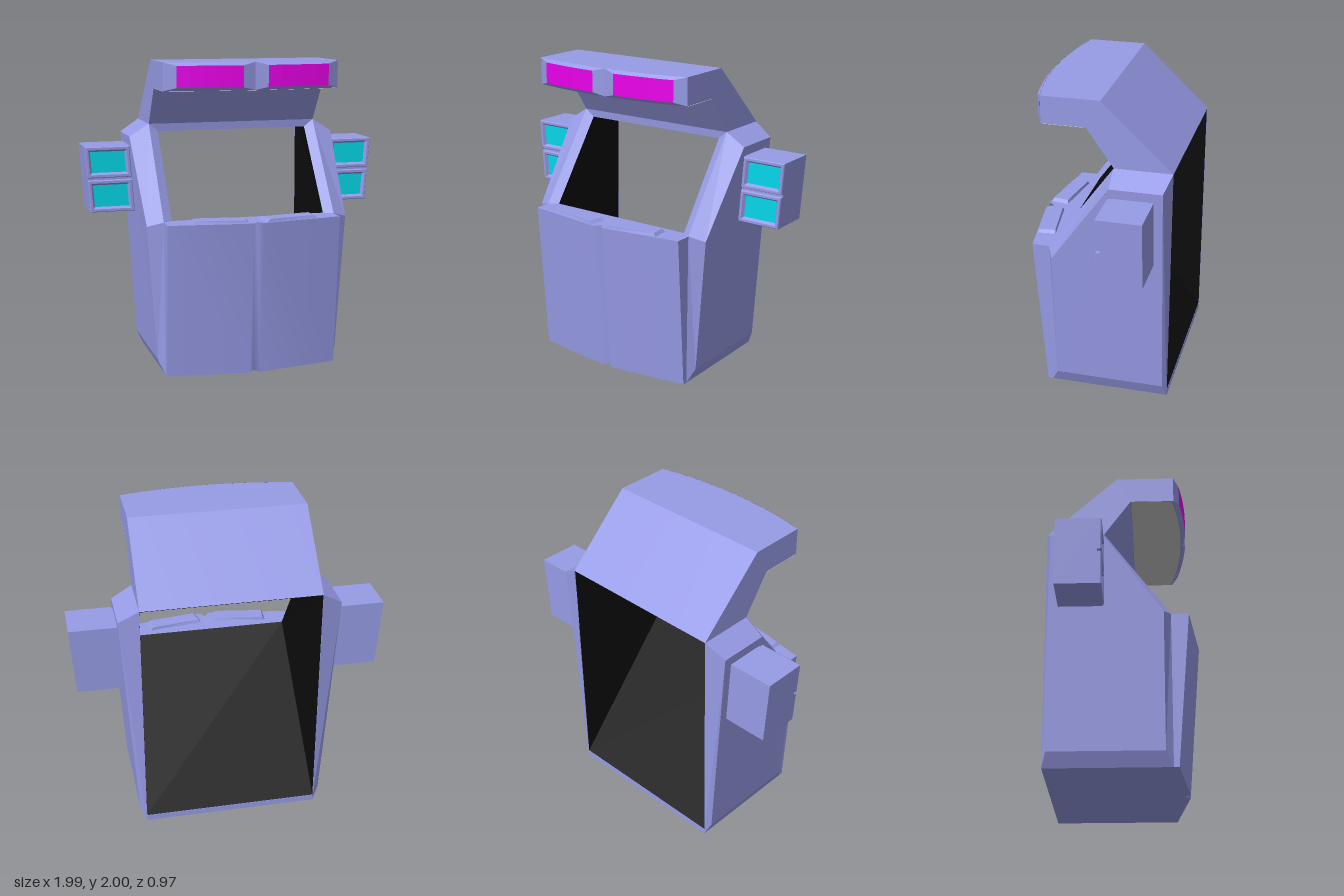
import * as THREE from 'three';
import { mergeVertices } from 'three/addons/utils/BufferGeometryUtils.js';

const mat = (color, flatShading = true) => new THREE.MeshStandardMaterial({ color, flatShading, side: THREE.DoubleSide });
const shell = mat(0x979be6), smoothShell = mat(0x979be6, false);
const dark = mat(0x0c0c0c), magenta = mat(0xea00ea), cyan = mat(0x04d8ea), grey = mat(0xcccccc);

// Mesh from a list of polygons, each fanned from its first point
function polyMesh(name, polys, material) {
  const pos = [];
  for (const p of polys)
    for (let i = 1; i < p.length - 1; i++) pos.push(...p[0], ...p[i], ...p[i + 1]);
  let g = new THREE.BufferGeometry();
  g.setAttribute('position', new THREE.Float32BufferAttribute(pos, 3));
  if (!material.flatShading) g = mergeVertices(g);
  g.computeVertexNormals();
  const mesh = new THREE.Mesh(g, material);
  mesh.name = name;
  return mesh;
}

// Polygons joining closed rings of equal length, with optional end caps
function loft(rings, capStart, capEnd) {
  const polys = [];
  for (let r = 0; r < rings.length - 1; r++) {
    const a = rings[r], b = rings[r + 1];
    a.forEach((p, i) => {
      const j = (i + 1) % a.length;
      polys.push([p, a[j], b[j], b[i]]);
    });
  }
  if (capStart) polys.push([rings[0][0], ...rings[0].slice(1).reverse()]);
  if (capEnd) polys.push(rings[rings.length - 1]);
  return polys;
}

// Bowed front edge of the hood
const bow = (x) => 0.33 + 0.065 * (1 - (x / 0.57) ** 2);

// Bevelled side wall, made for +x
function sideWall() {
  const inner = [[0.57, 0, 0.3], [0.57, 0, -0.475], [0.57, 1.58, -0.485], [0.57, 1.58, -0.12], [0.57, 1, 0.3]];
  const outer = [[0.61, 0.09, 0.255], [0.61, 0.09, -0.45], [0.7, 1.5, -0.45], [0.7, 1.5, -0.12], [0.67, 0.97, 0.255]];
  return polyMesh('sideWall', loft([inner, outer], false, true), shell);
}

// One half of the visor: raised bevelled frame around a coloured pane
function visorHalf() {
  const g = new THREE.Group();
  g.name = 'visorHalf';
  const ring = (x0, x1, y0, y1, lift) => {
    const edge = (y) => [0, 1, 2, 3, 4, 5].map((i) => {
      const x = x0 + (x1 - x0) * i / 5;
      return [x, y, bow(x) + lift];
    });
    return [...edge(y0), ...edge(y1).reverse()];
  };
  const outer = ring(0, 0.57, 1.825, 2, 0.001), inner = ring(0.08, 0.495, 1.845, 1.98, 0.022);
  g.add(polyMesh('visorFrame', loft([outer, inner]), shell));
  const panes = [];
  for (let i = 0; i < 5; i++) panes.push([inner[i], inner[i + 1], inner[10 - i], inner[11 - i]]);
  g.add(polyMesh('visorPane', panes, magenta));
  return g;
}

// Leaning shoulder box with two lamps set in bevelled frames
function shoulderBox() {
  const g = new THREE.Group();
  g.name = 'shoulderBox';
  const rect = (x0, x1, y0, y1, z) => [[x0, y0], [x1, y0], [x1, y1], [x0, y1]]
    .map(([x, y]) => [x + (y - 1.44) * 0.07, y, z]);
  const housing = [-0.395, -0.14].map((z) => rect(0.68, 0.995, 1.01, 1.44, z));
  g.add(polyMesh('lampHousing', loft(housing, true, true), shell));
  for (const [y0, y1] of [[1.01, 1.22], [1.236, 1.44]]) {
    const inset = (d, z) => rect(0.703 + d, 0.995 - d, y0 + d, y1 - d, z);
    const lens = inset(0.033, -0.132);
    g.add(polyMesh('lampFrame', loft([inset(0, -0.14), inset(0, -0.12), inset(0.005, -0.112), inset(0.02, -0.112), lens]), shell));
    g.add(polyMesh('lamp', [lens], cyan));
  }
  return g;
}

export function createModel() {
  const model = new THREE.Group();
  model.name = 'openBackedShell';

  // Mirrored parts
  for (const s of [1, -1]) {
    const side = new THREE.Group();
    side.name = s > 0 ? 'leftSide' : 'rightSide';
    side.add(sideWall(), visorHalf(), shoulderBox());
    // Raised plate on the chest ledge
    const base = [[0.06, 1, 0.475], [0.41, 1, 0.425], [0.4, 1, 0.31], [0.04, 1, 0.36]];
    const top = [[0.08, 1.02, 0.468], [0.395, 1.02, 0.42], [0.385, 1.02, 0.315], [0.06, 1.02, 0.365]];
    side.add(polyMesh('ledgePlate', loft([base, top], false, true), shell));
    // Dark inner wall narrowing from the back opening to the window
    side.add(polyMesh('innerWall', [[[0.51, 1, 0.26], [0.51, 1.53, -0.125],
      [0.569, 1.575, -0.48], [0.569, 0.04, -0.474]]], dark));
    // Recessed window jamb
    side.add(polyMesh('windowJamb', [[[0.57, 1, 0.3], [0.57, 1.58, -0.12], [0.51, 1.53, -0.125], [0.51, 1, 0.26]]], shell));
    side.scale.x = s;
    model.add(side);
  }

  // Chest: pointed plan with a centre groove, leaning forward to the top
  const chest = (y, lean) => [[0, y, 0.365 + lean], [-0.035, y, 0.41 + lean], [-0.57, y, 0.333 + lean],
    [-0.57, y, 0.3], [0.57, y, 0.3], [0.57, y, 0.333 + lean], [0.035, y, 0.41 + lean]];
  const chestPolys = loft([chest(0, 0), chest(1, 0.078)], true, true);
  const isFront = (i) => [0, 1, 5, 6].includes(i);
  model.add(polyMesh('chestFront', chestPolys.filter((p, i) => isFront(i)), smoothShell));
  model.add(polyMesh('chestBlock', chestPolys.filter((p, i) => !isFront(i)), shell));

  // Hood: side profile swept across x with a bowed front
  const hood = [];
  for (let i = 0; i <= 10; i++) {
    const x = -0.57 + 0.114 * i;
    hood.push([[x, 1.825, 0.05], [x, 1.58, -0.12], [x, 1.58, -0.485], [x, 2, -0.04], [x, 2, bow(x)], [x, 1.825, bow(x)]]);
  }
  model.add(polyMesh('hood', loft(hood, true, true), shell));
  const under = (p, z) => [p[0][0], 1.823, z];
  model.add(polyMesh('hoodUnderside', hood.slice(1).map((b, i) =>
    [under(hood[i], 0.055), under(b, 0.055), under(b, b[5][2] - 0.01), under(hood[i], hood[i][5][2] - 0.01)]), grey));

  // Window head and sill
  model.add(polyMesh('windowHead', [[[-0.57, 1.58, -0.12], [-0.51, 1.53, -0.125], [0.51, 1.53, -0.125], [0.57, 1.58, -0.12]]], shell));
  model.add(polyMesh('windowSill', [[[-0.57, 1, 0.3], [0.57, 1, 0.3], [0.51, 1, 0.26], [-0.51, 1, 0.26]]], shell));

  // Floor slab and dark sloping lining
  const floor = new THREE.Mesh(new THREE.BoxGeometry(1.14, 0.038, 0.775), shell);
  floor.name = 'floor';
  floor.position.set(0, 0.019, -0.0875);
  model.add(floor);
  model.add(polyMesh('lining', [
    [[-0.51, 1.53, -0.125], [0.51, 1.53, -0.125], [0.569, 1.575, -0.48], [-0.569, 1.575, -0.48]],
    [[-0.51, 1, 0.26], [0.51, 1, 0.26], [0.569, 0.04, -0.474], [-0.569, 0.04, -0.474]],
  ], dark));
  return model;
}
